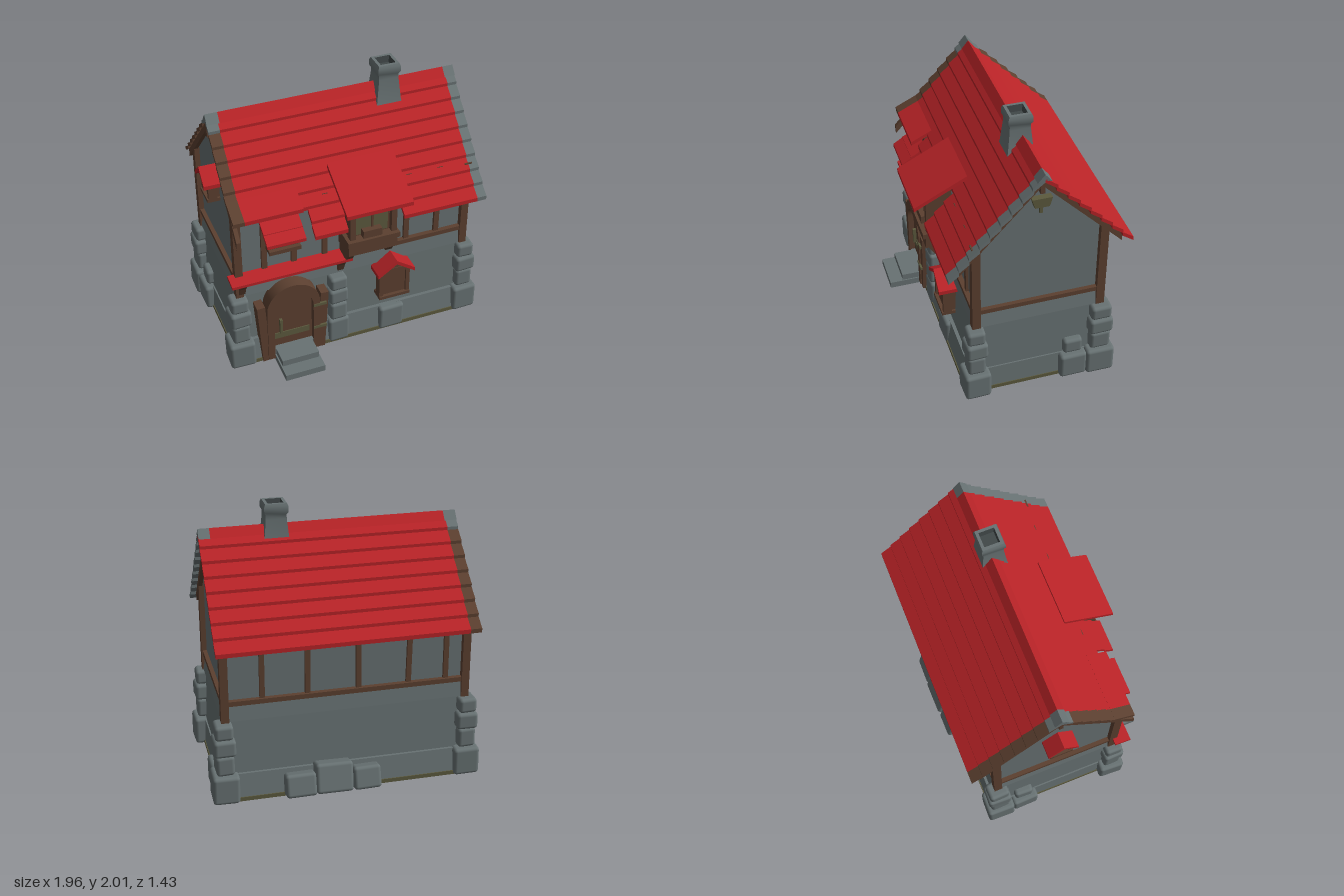
import * as THREE from 'three';
import { toCreasedNormals } from 'three/addons/utils/BufferGeometryUtils.js';
import { RoundedBoxGeometry } from 'three/addons/geometries/RoundedBoxGeometry.js';

const material = (name, color) => {
  const m = new THREE.MeshStandardMaterial({ color });
  m.name = name;
  return m;
};

export function createModel() {
  const house = new THREE.Group();
  house.name = 'house';
  const red = material('red roof', 0xb92327);
  const stone = material('grey stone', 0x687273);
  const wood = material('brown wood', 0x5c4030);
  const olive = material('olive', 0x5c5a3e);
  const darkStone = material('chimney inside', 0x414849);

  let seed = 7;
  const jitter = (a) => {
    seed = (seed * 16807) % 2147483647;
    return (seed / 2147483647 - 0.5) * a;
  };
  const add = (name, geo, mat, parent = house) => {
    const m = new THREE.Mesh(geo, mat);
    m.name = name;
    parent.add(m);
    return m;
  };
  // Box from its limits
  const box = (name, mat, x0, x1, y0, y1, z0, z1, parent) => {
    const m = add(name, new THREE.BoxGeometry(x1 - x0, y1 - y0, z1 - z0), mat, parent);
    m.position.set((x0 + x1) / 2, (y0 + y1) / 2, (z0 + z1) / 2);
    return m;
  };
  // Rounded, slightly crooked stone from centre and size
  const rock = (name, x, y, z, w, h, d) => {
    const m = add(name, new RoundedBoxGeometry(w, h, d, 2, 0.025), stone);
    m.position.set(x, y, z);
    m.rotation.set(0, jitter(0.1), jitter(0.05));
    return m;
  };
  // Profile of [z, y] points drawn out along x
  const prism = (name, mat, pts, x0, x1, parent) => {
    const shape = new THREE.Shape(pts.map(([z, y]) => new THREE.Vector2(z, y)));
    const geo = new THREE.ExtrudeGeometry(shape, { depth: x1 - x0, bevelEnabled: false });
    return add(name, geo.rotateY(-Math.PI / 2).translate(x1, 0, 0), mat, parent);
  };
  // Board lying between two [z, y] points, thickness hanging downwards
  const plank = (name, mat, a, b, t, x0, x1, parent) =>
    prism(name, mat, [a, b, [b[0], b[1] - t], [a[0], a[1] - t]], x0, x1, parent);

  // Stone ground floor: stacked tapering courses [y, half width, front z, back z]
  const course = (lo, hi) => {
    const geo = new THREE.BoxGeometry(2, 2, 2);
    const p = geo.attributes.position;
    for (let i = 0; i < p.count; i++) {
      const r = p.getY(i) < 0 ? lo : hi;
      p.setXYZ(i, p.getX(i) * r[1], r[0], p.getZ(i) > 0 ? r[2] : r[3]);
    }
    geo.computeVertexNormals();
    add('stoneWall', geo, stone);
  };
  course([0.02, 0.905, 0.455, -0.6], [0.2, 0.895, 0.425, -0.57]);
  course([0.2, 0.885, 0.4, -0.55], [0.6, 0.87, 0.38, -0.52]);
  course([0.6, 0.885, 0.395, -0.54], [0.73, 0.865, 0.38, -0.525]);
  box('groundPlate', olive, -0.91, 0.91, 0, 0.03, -0.605, 0.46);

  // Upper floor with gables
  prism('upperWall', stone,
    [[0.365, 0.7], [0.365, 1.31], [-0.07, 1.77], [-0.515, 1.31], [-0.515, 0.7]], -0.855, 0.855);

  // Corner and pillar stones
  const layers = [[0, 0.21, 0.19], [0.21, 0.36, 0.13], [0.36, 0.485, 0.155], [0.485, 0.595, 0.13]];
  for (const [y0, y1, w] of layers) {
    const y = (y0 + y1) / 2, h = y1 - y0;
    for (const s of [-1, 1]) {
      rock('cornerStone', s * 0.88, y, 0.385, w, h, w);
      rock('cornerStone', s * 0.88, y, -0.53, w, h, w + 0.02);
    }
    rock('pillarStone', -0.14, y, 0.4, w * 0.55 + 0.06, h, 0.13);
  }
  for (const s of [-1, 1]) {
    rock('sideStone', s * 0.88, 0.1, -0.33, 0.16, 0.2, 0.2);
    rock('sideStone', s * 0.87, 0.265, -0.33, 0.12, 0.12, 0.14);
  }
  rock('frontStone', 0.28, 0.1, 0.42, 0.2, 0.2, 0.1);
  [[0.36, 0.09, 0.22, 0.17], [0.12, 0.12, 0.27, 0.22], [-0.12, 0.09, 0.2, 0.17]].forEach(([x, y, w, h]) => {
    rock('backStone', x, y, -0.61, w, h, 0.15).rotation.x = 0.25;
  });

  // Timber frame
  for (const x of [-0.865, 0.865]) {
    box('cornerPost', wood, x - 0.028, x + 0.028, 0.6, 1.31, 0.345, 0.405);
    box('cornerPost', wood, x - 0.028, x + 0.028, 0.6, 1.31, -0.555, -0.495);
    box('gableBeam', wood, x - 0.02, x + 0.02, 0.72, 0.755, -0.52, 0.37);
  }
  box('frontBeam', wood, -0.87, 0.87, 0.72, 0.755, 0.36, 0.4);
  box('backBeam', wood, -0.87, 0.87, 0.72, 0.755, -0.55, -0.51);
  for (const x of [-0.67, -0.45, -0.22, 0.41, 0.65])
    box('frontStud', wood, x - 0.02, x + 0.02, 0.75, 1.32, 0.35, 0.385).rotation.z = jitter(0.04);
  for (const x of [0.6, 0.28, -0.08, -0.45, -0.72])
    box('backStud', wood, x - 0.018, x + 0.018, 0.75, 1.32, -0.535, -0.5).rotation.z = jitter(0.04);

  // Roof of overlapping planks, with weathered ends
  const X0 = -0.905, X1 = 0.935;
  const slope = (n, eave, each) => {
    const at = (t, lift) => [-0.07 + (eave[0] + 0.07) * t, 1.825 + (eave[1] - 1.825) * t + lift];
    for (let i = 0; i < n; i++) each(i, at(i / n, -0.012), at((i + 1.12) / (n + 0.12), 0.012));
  };
  slope(9, [0.575, 1.11], (i, a, b) => {
    const row = (mat, x0, x1) => plank('frontRoofPlank', mat, a, b, 0.03, x0, x1);
    if (i < 6) {
      row(i < 1 ? stone : wood, X0, X0 + 0.08);
      row(red, X0 + 0.08, X1 - 0.07);
    } else {
      row(red, i === 6 ? -0.41 : -0.36, -0.12);
      row(red, 0.3, X1 - 0.07);
    }
    row(stone, X1 - 0.07, X1);
  });
  slope(8, [-0.715, 1.18], (i, a, b) => {
    plank('backRoofPlank', i < 1 ? stone : wood, a, b, 0.03, X0, X0 + 0.08);
    plank('backRoofPlank', red, a, b, 0.03, X0 + 0.08, X1);
  });
  for (const [mat, x0, x1] of [[stone, X0, X0 + 0.09], [red, X0 + 0.09, X1 - 0.08], [stone, X1 - 0.08, X1]])
    prism('ridgeCap', mat, [[-0.12, 1.785], [-0.07, 1.845], [-0.02, 1.785], [-0.07, 1.8]], x0, x1);
  plank('flaredEave', red, [0.33, 1.385], [0.485, 1.31], 0.03, X0 + 0.08, -0.41);
  plank('flaredEaveEnd', wood, [0.33, 1.385], [0.485, 1.31], 0.03, X0, X0 + 0.08);
  for (const x of [-0.895, 0.865]) {
    plank('bargeBoard', wood, [-0.07, 1.79], [0.5, 1.16], 0.06, x, x + 0.03);
    plank('bargeBoard', wood, [-0.07, 1.79], [-0.65, 1.205], 0.06, x, x + 0.03);
    box('gablePeg', wood, x - 0.005, x + 0.035, 1.67, 1.79, -0.085, -0.055);
  }

  // Gable ornament
  prism('gableOrnament', olive, [[0, 1.63], [-0.14, 1.63], [-0.12, 1.56], [-0.02, 1.56]], 0.85, 0.9);
  box('ornamentPendant', olive, 0.86, 0.88, 1.5, 1.56, -0.08, -0.06);

  // Square tapered chimney
  const chimneyProfile = [[0.1, 1.68], [0.09, 1.72], [0.073, 1.89], [0.073, 1.92], [0.084, 1.94],
    [0.084, 1.98], [0.076, 2], [0.055, 2], [0.05, 1.95], [0, 1.95]];
  const lathe = (pts, mat, name) => {
    const geo = new THREE.LatheGeometry(
      pts.map(([r, y]) => new THREE.Vector2(r * Math.SQRT2, y)), 4).rotateY(Math.PI / 4);
    add(name, toCreasedNormals(geo, 0.6), mat).position.set(0.4, 0, -0.055);
  };
  lathe(chimneyProfile.slice(0, 8), stone, 'chimney');
  lathe(chimneyProfile.slice(7), darkStone, 'chimneyOpening');

  // Large dormer window
  const dormer = new THREE.Group();
  dormer.name = 'dormer';
  house.add(dormer);
  plank('dormerRoof', red, [0.27, 1.48], [0.65, 1.285], 0.03, -0.16, 0.33, dormer);
  prism('dormerBody', wood, [[0.34, 0.95], [0.51, 0.95], [0.51, 1.32], [0.34, 1.4]], -0.09, 0.25, dormer);
  box('dormerPane', olive, -0.04, 0.2, 1, 1.24, 0.508, 0.514, dormer);
  for (const x of [-0.095, 0.215]) box('dormerPost', wood, x, x + 0.04, 0.97, 1.29, 0.5, 0.55, dormer);
  box('dormerMullion', wood, 0.072, 0.088, 1, 1.25, 0.51, 0.525, dormer);
  box('dormerLintel', wood, -0.1, 0.26, 1.24, 1.28, 0.5, 0.56, dormer);
  box('dormerSill', wood, -0.12, 0.27, 0.95, 0.99, 0.36, 0.58, dormer);
  box('dormerApron', wood, -0.11, 0.26, 0.86, 0.95, 0.36, 0.56, dormer);
  box('dormerPlanter', wood, 0, 0.14, 0.99, 1.05, 0.51, 0.56, dormer);
  for (const x of [-0.08, 0.22])
    prism('dormerBracket', wood, [[0.37, 0.87], [0.55, 0.87], [0.5, 0.79], [0.37, 0.76]], x - 0.025, x + 0.025, dormer);

  // Small upper window with its own roof
  plank('smallDormerRoof', red, [0.37, 1.235], [0.49, 1.17], 0.025, -0.7, -0.42);
  plank('smallDormerRoof', red, [0.45, 1.19], [0.56, 1.12], 0.025, -0.7, -0.42);
  box('smallDormerBody', wood, -0.65, -0.44, 0.98, 1.18, 0.36, 0.45);
  box('smallDormerPane', stone, -0.615, -0.475, 1.01, 1.14, 0.448, 0.455);
  box('smallDormerSill', wood, -0.66, -0.43, 0.97, 1, 0.36, 0.48);

  // Porch ledge over the door
  plank('porchLedge', red, [0.37, 0.795], [0.49, 0.78], 0.022, -0.94, -0.05);
  for (const x of [-0.85, -0.11])
    prism('porchBracket', wood, [[0.37, 0.76], [0.48, 0.76], [0.44, 0.7], [0.41, 0.63], [0.37, 0.63]], x - 0.022, x + 0.022);

  // Arched door
  const arch = (C, r, y0, yc) => {
    const p = new C();
    p.moveTo(-r, y0);
    p.lineTo(r, y0);
    p.lineTo(r, yc);
    p.absarc(0, yc, r, 0, Math.PI, false);
    p.lineTo(-r, y0);
    return p;
  };
  const doorway = new THREE.Group();
  doorway.name = 'doorway';
  doorway.position.x = -0.5;
  house.add(doorway);
  const extrude = (shape, depth) =>
    toCreasedNormals(new THREE.ExtrudeGeometry(shape, { depth, bevelEnabled: false, curveSegments: 16 }), 0.6);
  const frame = arch(THREE.Shape, 0.2, 0.02, 0.465);
  frame.holes.push(arch(THREE.Path, 0.15, 0.025, 0.44));
  add('doorFrame', extrude(frame, 0.13), wood, doorway).position.z = 0.36;
  add('door', extrude(arch(THREE.Shape, 0.155, 0.09, 0.44), 0.08), wood, doorway).position.z = 0.365;
  box('doorBand', olive, -0.14, 0.13, 0.17, 0.22, 0.44, 0.452, doorway);
  box('doorHandle', olive, -0.1, -0.08, 0.22, 0.35, 0.44, 0.47, doorway);
  box('threshold', stone, -0.15, 0.15, 0, 0.1, 0.4, 0.48, doorway);
  for (const s of [-1, 1]) {
    box('doorPost', wood, s * 0.225 - 0.03, s * 0.225 + 0.03, 0.01, 0.52, 0.37, 0.48, doorway).rotation.z = -s * 0.06;
  }
  for (const y of [0.21, 0.42]) box('hinge', olive, 0.15, 0.25, y, y + 0.022, 0.47, 0.495, doorway);
  box('lowerStep', stone, -0.65, -0.35, 0, 0.05, 0.44, 0.72);
  box('upperStep', stone, -0.64, -0.36, 0.05, 0.1, 0.44, 0.62);

  // Small gabled window, facing +z, base at y = 0
  const gabledWindow = (name, w, h, rise) => {
    const g = new THREE.Group();
    g.name = name;
    house.add(g);
    box('windowBody', wood, -w / 2, w / 2, 0, h, -0.04, 0.05, g);
    box('windowSill', wood, -w / 2 - 0.015, w / 2 + 0.015, 0, 0.025, -0.04, 0.075, g);
    for (const s of [-1, 1]) box('windowPost', wood, s * w / 2 - 0.015, s * w / 2 + 0.015, 0.02, h, 0, 0.065, g);
    box('windowLintel', wood, -w / 2, w / 2, h - 0.03, h, 0, 0.065, g);
    const e = w / 2 + 0.04;
    const tri = new THREE.Shape([[-w / 2, h], [w / 2, h], [0, h + rise]].map((p) => new THREE.Vector2(...p)));
    add('windowGable', extrude(tri, 0.09), wood, g).position.z = -0.03;
    for (const s of [-1, 1]) {
      const side = new THREE.Shape([[0, h + rise + 0.02], [s * e, h - 0.01], [s * e, h - 0.04], [0, h + rise - 0.01]]
        .map((p) => new THREE.Vector2(...p)));
      add('windowRoof', extrude(side, 0.14), red, g).position.z = -0.04;
    }
    return g;
  };
  gabledWindow('groundWindow', 0.21, 0.265, 0.07).position.set(0.285, 0.32, 0.42);
  const side = gabledWindow('gableWindow', 0.14, 0.17, 0.07);
  side.position.set(-0.875, 1.18, -0.07);
  side.rotation.y = -Math.PI / 2;

  return house;
}
